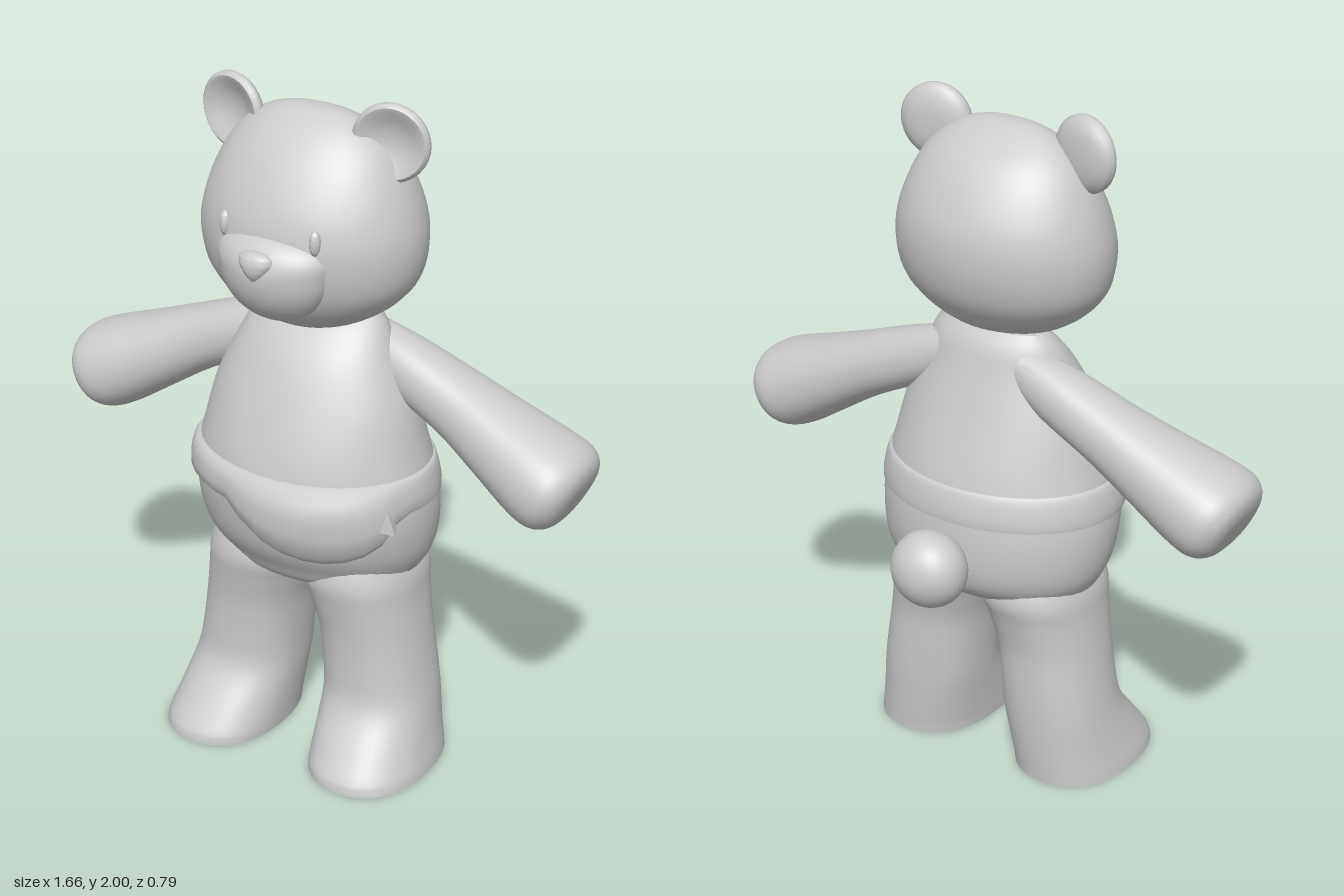
import * as THREE from 'three';
import { toCreasedNormals } from 'three/addons/utils/BufferGeometryUtils.js';

const N = 40;

// Closed rings joined into a skin; point(i, angle) returns [x, y, z], rows run upward.
function skin(rows, point, capped = true) {
  const pos = [], idx = [];
  for (let i = 0; i < rows; i++)
    for (let j = 0; j < N; j++) pos.push(...point(i, (j / N) * Math.PI * 2));
  for (let i = 0; i < rows - 1; i++)
    for (let j = 0; j < N; j++) {
      const a = i * N + j, b = i * N + (j + 1) % N;
      idx.push(a, a + N, b, b, a + N, b + N);
    }
  if (capped) for (const row of [0, rows - 1]) {
    const c = [0, 0, 0];
    for (let j = 0; j < N; j++) for (let k = 0; k < 3; k++) c[k] += pos[(row * N + j) * 3 + k] / N;
    const centre = pos.length / 3;
    pos.push(...c);
    for (let j = 0; j < N; j++) {
      const a = row * N + j, b = row * N + (j + 1) % N;
      idx.push(...(row ? [centre, b, a] : [centre, a, b]));
    }
  }
  const g = new THREE.BufferGeometry();
  g.setAttribute('position', new THREE.Float32BufferAttribute(pos, 3));
  g.setIndex(idx);
  return g;
}

// Smooth lookup of [y, x0, x1, z0, z1] sections, by index or by height.
function smooth(sections, times = sections.map((_, i) => i)) {
  const f = new THREE.CubicInterpolant(times, sections.flat(), 5, new Array(5));
  return t => [...f.evaluate(t)];
}

// Loft through the sections; power below 1 makes the rings squarer.
function loft(sections, power = 1) {
  const at = smooth(sections), steps = (sections.length - 1) * 4;
  const rings = Array.from({ length: steps + 1 }, (_, i) => at(i / 4));
  const p = v => Math.sign(v) * Math.abs(v) ** power;
  return skin(rings.length, (i, a) => {
    const [y, x0, x1, z0, z1] = rings[i];
    return [(x0 + x1) / 2 + p(Math.cos(a)) * (x1 - x0) / 2, y, (z0 + z1) / 2 + p(Math.sin(a)) * (z1 - z0) / 2];
  });
}

// Reverse x and the winding of an indexed geometry.
function mirror(geo) {
  const g = geo.clone().scale(-1, 1, 1), ix = g.index.array;
  for (let i = 0; i < ix.length; i += 3) [ix[i], ix[i + 1]] = [ix[i + 1], ix[i]];
  return g;
}

// Ellipsoid whose unit-sphere points pass through a rule before placing.
function blob(x, y, z, rx, ry, rz, rule = () => {}) {
  const g = new THREE.SphereGeometry(1, 32, 20), p = g.attributes.position, v = new THREE.Vector3();
  for (let i = 0; i < p.count; i++) {
    v.fromBufferAttribute(p, i);
    rule(v);
    p.setXYZ(i, v.x, v.y, v.z);
  }
  return g.scale(rx, ry, rz).translate(x, y, z);
}

export function createModel() {
  const model = new THREE.Group();
  const material = new THREE.MeshStandardMaterial({ color: 0xcccccc });
  const add = (name, geo) => {
    const mesh = new THREE.Mesh(toCreasedNormals(geo, 0.9), material);
    mesh.name = name;
    model.add(mesh);
  };
  const pair = (name, geo) => {
    add('left' + name, geo);
    add('right' + name, mirror(geo));
  };
  const sym = list => list.map(([y, r, z0, z1]) => [y, -r, r, z0, z1]);

  // Torso and hips
  const body = sym([
    [0.53, 0.12, -0.06, 0.15], [0.58, 0.28, -0.145, 0.24], [0.63, 0.33, -0.2, 0.275],
    [0.7, 0.358, -0.225, 0.315], [0.8, 0.37, -0.228, 0.34], [0.9, 0.36, -0.215, 0.345],
    [1.0, 0.335, -0.19, 0.325], [1.13, 0.3, -0.145, 0.275], [1.25, 0.245, -0.105, 0.215],
    [1.33, 0.205, -0.08, 0.15], [1.375, 0.17, -0.05, 0.09],
  ]);
  add('torso', loft(body));

  // Head
  add('head', loft(sym([
    [1.335, 0.05, 0.05, 0.15], [1.35, 0.12, 0, 0.19], [1.38, 0.19, -0.06, 0.235],
    [1.43, 0.26, -0.115, 0.28], [1.5, 0.313, -0.16, 0.312], [1.6, 0.33, -0.183, 0.328],
    [1.7, 0.313, -0.175, 0.312], [1.8, 0.272, -0.13, 0.263], [1.87, 0.222, -0.075, 0.21],
    [1.92, 0.155, -0.01, 0.155], [1.945, 0.08, 0.04, 0.11], [1.95, 0.015, 0.065, 0.085],
  ])));

  // Muzzle, nose and eyes
  add('muzzle', blob(0, 1.56, 0.295, 0.168, 0.1, 0.088, v => {
    if (v.y < 0) v.y *= 1.6;
    else v.x *= 1 + 0.25 * v.y;
    v.z -= 0.25 * v.x * v.x + 0.12 * v.y * v.y;
  }));
  add('nose', blob(0, 1.58, 0.36, 0.06, 0.047, 0.035, v => {
    v.x *= 0.75 + 0.5 * v.y;
    v.z += 0.15 * v.y;
  }));
  pair('Eye', blob(0.14, 1.655, 0.295, 0.016, 0.037, 0.017));

  // Ears: shallow dishes facing forward and slightly outward
  const earProfile = [
    [0, -0.03], [0.04, -0.029], [0.075, -0.024], [0.1, -0.01], [0.109, 0.004], [0.108, 0.016],
    [0.098, 0.024], [0.084, 0.02], [0.06, 0.005], [0.03, -0.004], [0, -0.006],
  ].map(p => new THREE.Vector2(...p));
  pair('Ear', new THREE.LatheGeometry(earProfile, 32)
    .rotateX(Math.PI / 2).rotateY(0.2).translate(0.245, 1.89, 0.082));

  // Arms: lofted along their length, then swung out from the shoulder
  pair('Arm', loft([
    [0, -0.065, 0.065, -0.07, 0.05], [0.14, -0.085, 0.083, -0.09, 0.08],
    [0.33, -0.1, 0.09, -0.105, 0.105], [0.48, -0.113, 0.11, -0.118, 0.14],
    [0.62, -0.127, 0.13, -0.13, 0.175], [0.69, -0.127, 0.128, -0.13, 0.18],
    [0.73, -0.108, 0.105, -0.108, 0.155], [0.748, -0.07, 0.07, -0.07, 0.11],
    [0.752, -0.02, 0.02, 0, 0.04],
  ], 0.92).rotateZ(-2.002).translate(0.12, 1.275, 0));

  // Legs with flat-soled feet
  pair('Leg', loft([
    [0, 0.075, 0.425, -0.1, 0.368], [0.03, 0.073, 0.42, -0.102, 0.36],
    [0.1, 0.068, 0.403, -0.108, 0.308], [0.2, 0.06, 0.383, -0.115, 0.235],
    [0.3, 0.053, 0.366, -0.118, 0.222], [0.42, 0.04, 0.347, -0.12, 0.225],
    [0.52, 0.012, 0.333, -0.138, 0.24], [0.6, -0.01, 0.322, -0.155, 0.25],
    [0.7, 0.03, 0.28, -0.12, 0.22],
  ], 0.87));

  // Waist band that droops into a pouch on the front left
  const around = smooth(body, body.map(s => s[0]));
  const bandRows = [[1, -0.8], [0.97, 0.6], [0.85, 1], [0.6, 1.1], [0.35, 1.1], [0.14, 1], [0.03, 0.6], [0, -0.8]];
  add('waistPouch', skin(bandRows.length, (i, a) => {
    const [t, k] = bandRows[i];
    const bump = Math.max(0, 1 - ((a - 1.13) / 0.68) ** 2) ** 0.7;
    const y = THREE.MathUtils.lerp(0.95, 0.845 - 0.14 * bump, t);
    const out = k * (0.008 + 0.02 * Math.max(0, Math.sin(a)) + 0.022 * bump);
    const [, x0, x1, z0, z1] = around(y);
    return [Math.cos(a) * ((x1 - x0) / 2 + out), y, (z0 + z1) / 2 + Math.sin(a) * ((z1 - z0) / 2 + out)];
  }, false));

  // Small pointed tab on the pouch side
  add('pouchTab', new THREE.ConeGeometry(0.03, 0.065, 3)
    .rotateY(0.9).rotateZ(0.15).translate(0.345, 0.862, 0.245));

  // Tail
  add('tail', blob(0, 0.725, -0.295, 0.115, 0.113, 0.1));

  return model;
}
